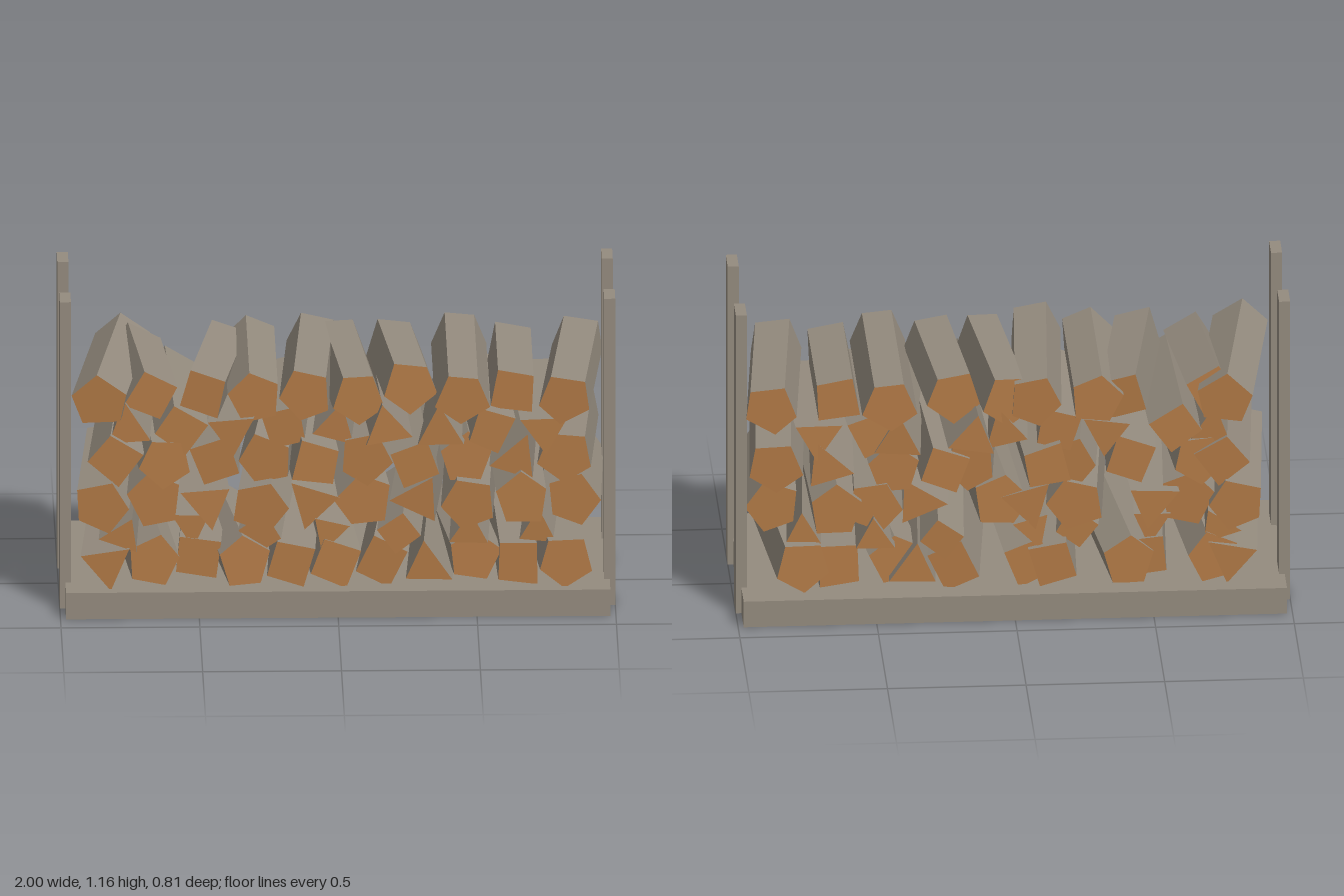
import * as THREE from 'three';

export function createModel() {
  const model = new THREE.Group();
  const wood = new THREE.MeshStandardMaterial({ color: 0x948b7e });
  wood.name = 'weathered wood';
  const cut = new THREE.MeshStandardMaterial({ color: 0xb27a46 });
  cut.name = 'cut wood';

  let seed = 7;
  const random = () => (seed = (seed * 16807) % 2147483647) / 2147483647;
  const spread = (amount) => (random() * 2 - 1) * amount;

  const addBox = (name, size, position) => {
    const mesh = new THREE.Mesh(new THREE.BoxGeometry(...size), wood);
    mesh.name = name;
    mesh.position.set(...position);
    model.add(mesh);
  };

  // Base platform and four upright posts
  addBox('base', [1.96, 0.1, 0.81], [0, 0.05, 0]);
  for (const side of [-1, 1]) {
    addBox('frontPost', [0.04, 1.165, 0.11], [side * 0.98, 0.5825, 0.23]);
    addBox('backPost', [0.04, 1.165, 0.11], [side * 0.98, 0.5825, -0.22]);
  }

  // Split log: an uneven polygon prism with orange cut ends; drift is how far its back end lies to the side
  const makeLog = (x, y, radius, sides, turn, drift, length) => {
    const points = [];
    for (let i = 0; i < sides; i++) {
      const a = THREE.MathUtils.degToRad(turn) + ((i + spread(0.08)) / sides) * Math.PI * 2;
      const d = radius * (1 + spread(0.06));
      points.push(new THREE.Vector2(Math.cos(a) * d, Math.sin(a) * d));
    }
    const geometry = new THREE.ExtrudeGeometry(new THREE.Shape(points), { depth: length, bevelEnabled: false });
    geometry.translate(0, 0, -length / 2);
    const log = new THREE.Mesh(geometry, [cut, wood]);
    log.name = 'log';
    log.position.set(x + drift / 2, y, 0.01 + spread(0.01));
    log.rotation.set(spread(0.02), -Math.atan(drift / length), 0);
    return log;
  };

  // Row of evenly spread logs; turns are in degrees and drifts in hundredths
  const addRow = (y, from, to, radius, sides, turns, drifts, lengths = []) => {
    const row = new THREE.Group();
    row.name = 'logRow';
    sides.forEach((count, i) => {
      const x = THREE.MathUtils.lerp(from, to, i / (sides.length - 1));
      const length = lengths[i] ?? 0.7 - 0.12 * random() ** 2;
      row.add(makeLog(x, y + spread(0.008), radius, count, turns[i], drifts[i] / 100, length));
    });
    model.add(row);
  };

  // Rows from the bottom up
  addRow(0.19, -0.83, 0.82, 0.1, [3, 5, 4, 5, 4, 4, 4, 3, 5, 4, 5],
    [40, 3, 35, 20, 30, 20, 20, 90, 10, 45, 55], [5, -6, 3, -8, 3, -5, 6, 4, -7, -2, -6]);
  addRow(0.3, -0.78, 0.72, 0.08, [3, 3, 4, 3, 4, 3, 3],
    [70, 30, 80, 10, 80, 90, 80], [4, 3, 5, -4, 4, 3, 4]);
  addRow(0.415, -0.85, 0.85, 0.103, [5, 5, 3, 5, 3, 5, 3, 5, 5, 5],
    [0, 30, 40, 70, 15, 28, 60, 40, 21, 0], [5, 3, -3, 6, 4, -5, 5, 3, -2, 2]);
  addRow(0.57, -0.8, 0.82, 0.1, [4, 5, 4, 5, 4, 5, 4, 5, 3, 5],
    [10, 45, 60, 35, 35, 63, 70, 13, 70, 48], [5, -5, 2, 6, -4, 6, -3, -3, 3, 4]);
  addRow(0.69, -0.75, 0.74, 0.095, [3, 4, 3, 4, 3, 3, 3, 4, 3],
    [95, 10, 35, 60, 80, 105, 90, 20, 30], [4, -2, 5, 3, 4, -3, 5, -4, -4]);
  addRow(0.815, -0.86, 0.82, 0.1, [5, 4, 4, 5, 5, 5, 5, 5, 4, 5],
    [23, 14, 30, 31, 40, 55, 55, 50, 35, 47], [10, -5, 9, 0, 4, -6, -5, 0, 0, 6],
    [0.7, 0.53, 0.6, 0.64, 0.68, 0.62, 0.53, 0.7, 0.53, 0.66]);
  return model;
}
